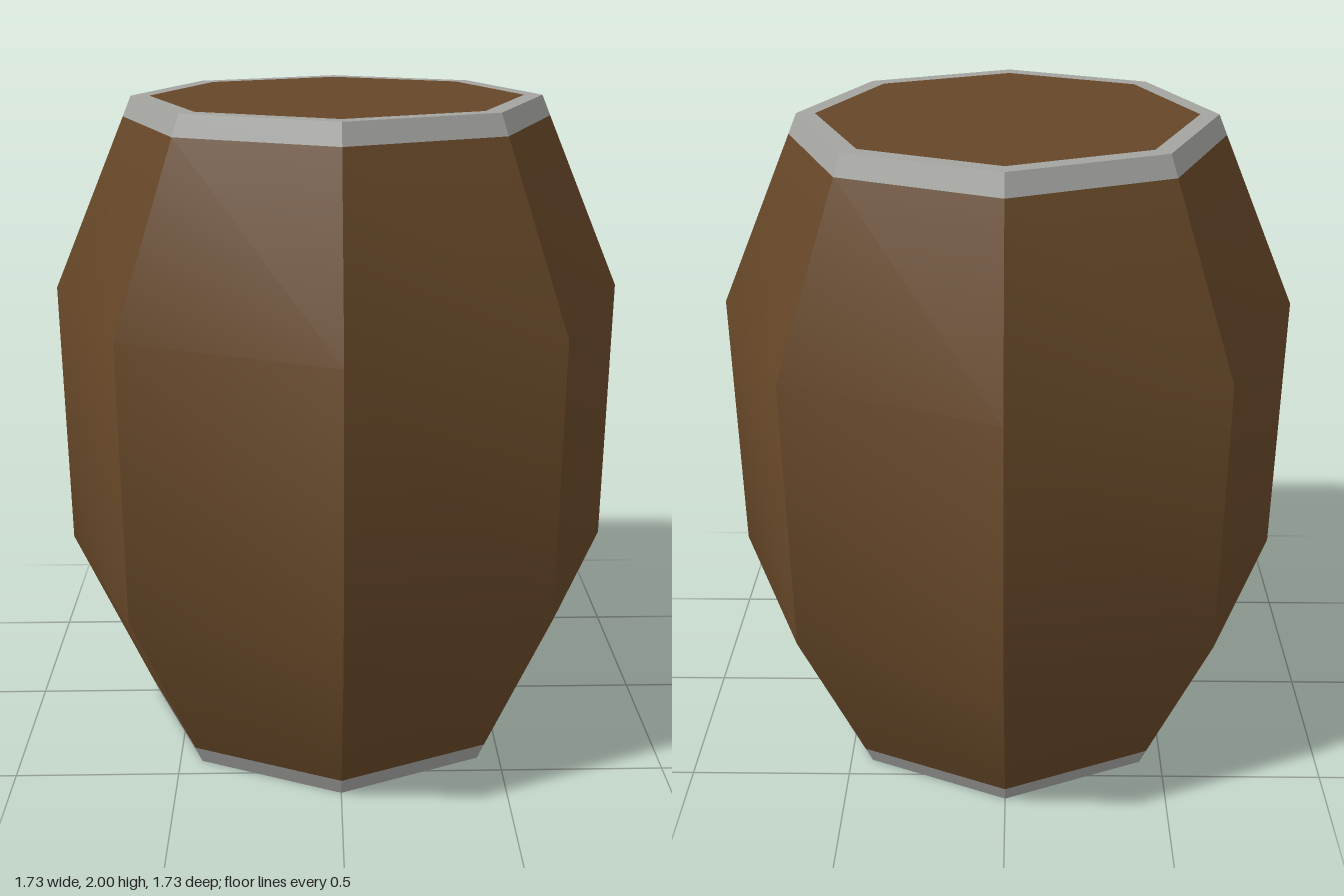
import * as THREE from 'three';
import { toCreasedNormals } from 'three/addons/utils/BufferGeometryUtils.js';

const SIDES = 8;
const END = 0.61, BELLY = 0.865, BAND = 0.636, HEAD = 0.555;

export function createModel() {
  const wood = new THREE.MeshStandardMaterial({ color: 0x664728 });
  wood.name = 'wood';
  const metal = new THREE.MeshStandardMaterial({ color: 0xa3a3a0 });
  metal.name = 'metal';

  const barrel = new THREE.Group();
  barrel.name = 'barrel';

  // Eight-sided ring: smooth along its height, sharp between the staves
  const ring = (name, profile, material) => {
    const points = profile.map(([r, y]) => new THREE.Vector2(r, y));
    const geometry = toCreasedNormals(new THREE.LatheGeometry(points, SIDES), Math.PI / 6);
    const mesh = new THREE.Mesh(geometry, material);
    mesh.name = name;
    barrel.add(mesh);
  };

  // Flat octagonal lid
  const head = (name, y, tilt) => {
    const mesh = new THREE.Mesh(new THREE.CircleGeometry(HEAD, SIDES), wood);
    mesh.name = name;
    mesh.rotation.x = tilt;
    mesh.position.y = y;
    barrel.add(mesh);
  };

  // Bulging staves
  ring('staves', [[BAND, 0.06], [BELLY, 0.58], [BELLY, 1.42], [BAND, 1.94]], wood);

  // Metal rims wrapping from the sides onto the ends
  ring('bottomRim', [[HEAD, 0], [END, 0], [BAND, 0.06]], metal);
  ring('topRim', [[BAND, 1.94], [END, 2], [HEAD, 2]], metal);

  // Wooden ends
  head('bottomHead', 0, Math.PI / 2);
  head('topHead', 2, -Math.PI / 2);

  return barrel;
}
